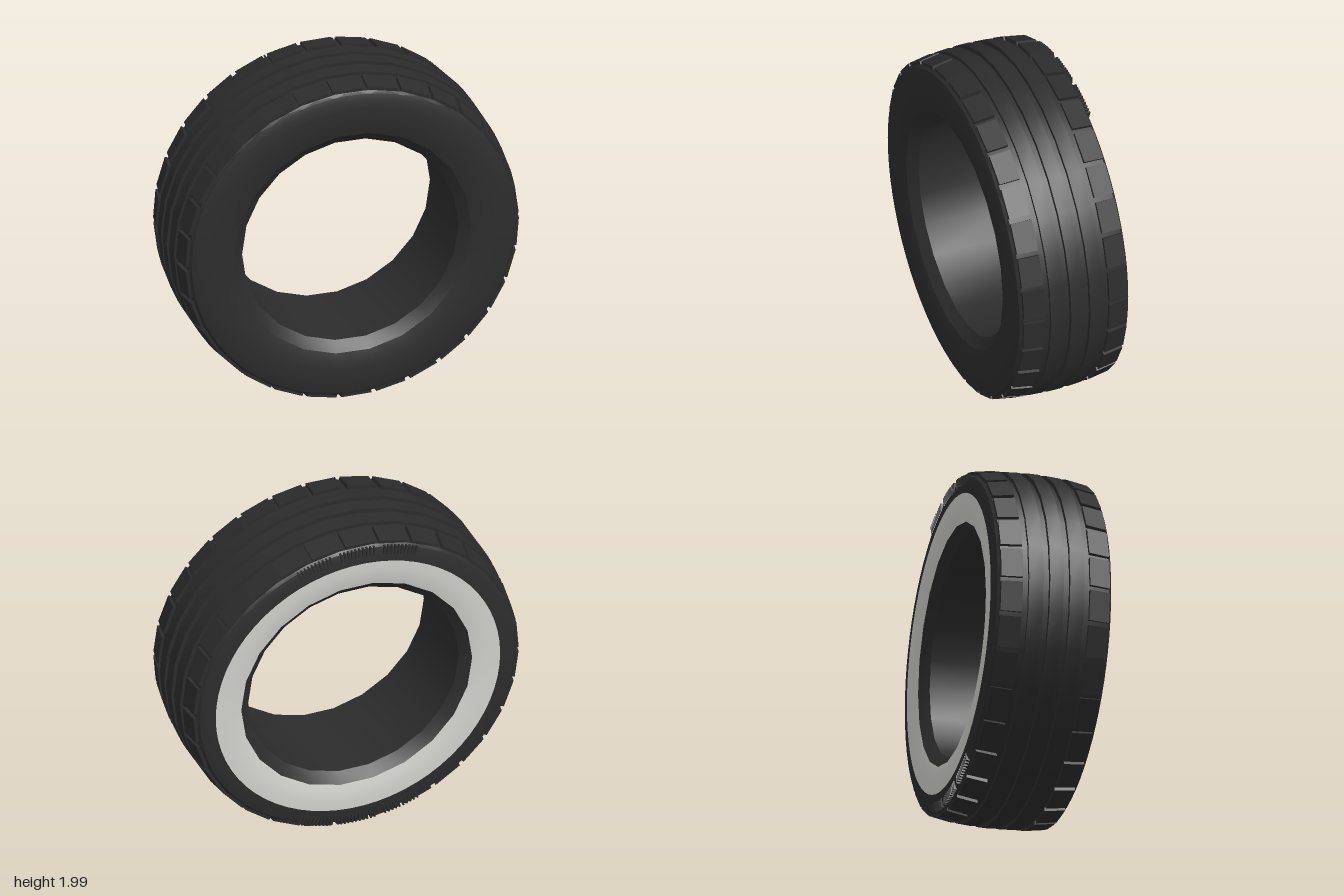
import * as THREE from 'three';
import { toCreasedNormals } from 'three/addons/utils/BufferGeometryUtils.js';

const DEG = Math.PI / 180;

export function createModel() {
  const rubber = new THREE.MeshStandardMaterial({ color: 0x2c2c2c });
  rubber.name = 'black rubber';
  const white = new THREE.MeshStandardMaterial({ color: 0xcfcfcb });
  white.name = 'whitewall';

  const tyre = new THREE.Group();
  tyre.name = 'tyre';
  tyre.position.y = 0.9945;

  const add = (name, geometry, material = rubber, parent = tyre) => {
    const mesh = new THREE.Mesh(geometry, material);
    mesh.name = name;
    parent.add(mesh);
    return mesh;
  };

  // Revolve [radius, z] points about the z axis, with a facet centred at the top.
  // Points inside 0.7 are pulled onto a 22-sided outline to meet the barrel.
  const revolve = (profile, sides) => {
    const geo = new THREE.LatheGeometry(profile.map(([r, z]) => new THREE.Vector2(r, z)), sides, Math.PI / sides);
    geo.rotateX(Math.PI / 2);
    if (sides > 30) {
      const p = geo.attributes.position;
      const step = (2 * Math.PI) / 22;
      for (let i = 0; i < p.count; i++) {
        const x = p.getX(i), y = p.getY(i);
        if (Math.hypot(x, y) > 0.7) continue;
        const a = Math.atan2(x, y);
        const off = a - Math.round(a / step) * step;
        const k = Math.cos(step / 2) / Math.cos(off);
        p.setXY(i, x * k, y * k);
      }
    }
    return toCreasedNormals(geo, 0.45);
  };

  // Box bent into place: angle from the top, angular width, z range,
  // inner radius, and outer radii at both z ends.
  const wedge = (angle, width, z0, z1, inner, outer0, outer1) => {
    const geo = new THREE.BoxGeometry(1, 1, 1);
    const p = geo.attributes.position;
    for (let i = 0; i < p.count; i++) {
      const a = (angle + p.getX(i) * width) * DEG;
      const far = p.getZ(i) > 0;
      const r = p.getY(i) > 0 ? (far ? outer1 : outer0) : inner;
      p.setXYZ(i, r * Math.sin(a), r * Math.cos(a), far ? z1 : z0);
    }
    geo.computeVertexNormals();
    return geo;
  };

  // Inner barrel with flared bead edges
  add('barrel', revolve([[0.69, 0.325], [0.63, 0.275], [0.63, -0.275], [0.69, -0.325]], 22));

  // Sidewalls; the back one carries the white band
  const wall = [[0.69, 0.325], [0.73, 0.337], [0.79, 0.344], [0.85, 0.344]];
  const shoulder = [[0.85, 0.344], [0.91, 0.339], [0.94, 0.33], [0.952, 0.312]];
  const back = (points) => points.map(([r, z]) => [r, -z]);
  add('frontSidewall', revolve([...wall, ...shoulder.slice(1)].reverse(), 66));
  add('whiteBand', revolve(back(wall), 66), white);
  add('backSidewall', revolve(back(shoulder), 66));

  // Tread base seen at the bottom of the grooves
  add('treadBase', revolve([[0.94, -0.33], [0.955, -0.315], [0.972, -0.19], [0.974, 0], [0.972, 0.19], [0.955, 0.315], [0.94, 0.33]], 30));

  // Three continuous tread ribs
  const ribs = [[-0.16, -0.077, 0.993, 0.998], [-0.04, 0.04, 1, 1], [0.077, 0.16, 0.998, 0.993]];
  for (const [z0, z1, r0, r1] of ribs) {
    add('treadRib', revolve([[0.95, z0], [r0, z0], [r1, z1], [0.95, z1]], 30));
  }

  // Shoulder blocks around both edges
  const blocks = new THREE.Group();
  blocks.name = 'shoulderBlocks';
  tyre.add(blocks);
  for (let i = 0; i < 30; i++) {
    const angle = i * 12 - 1.5;
    add('frontBlock', wedge(angle, 10.3, 0.195, 0.315, 0.93, 0.992, 0.972), rubber, blocks);
    add('backBlock', wedge(angle, 10.3, -0.315, -0.195, 0.93, 0.972, 0.992), rubber, blocks);
  }

  // Fine radial ridges on the back shoulder, top and bottom
  const ridges = new THREE.Group();
  ridges.name = 'sidewallRidges';
  tyre.add(ridges);
  for (const side of [0, 180]) {
    for (const centre of [-16, 0, 16]) {
      for (let i = 0; i < 10; i++) {
        const angle = side + centre + (i - 4.5) * 1.35;
        add('ridge', wedge(angle, 0.6, -0.347, -0.325, 0.895, 0.95, 0.95), rubber, ridges);
      }
    }
  }

  const model = new THREE.Group();
  model.name = 'whitewallTyre';
  model.add(tyre);
  return model;
}
